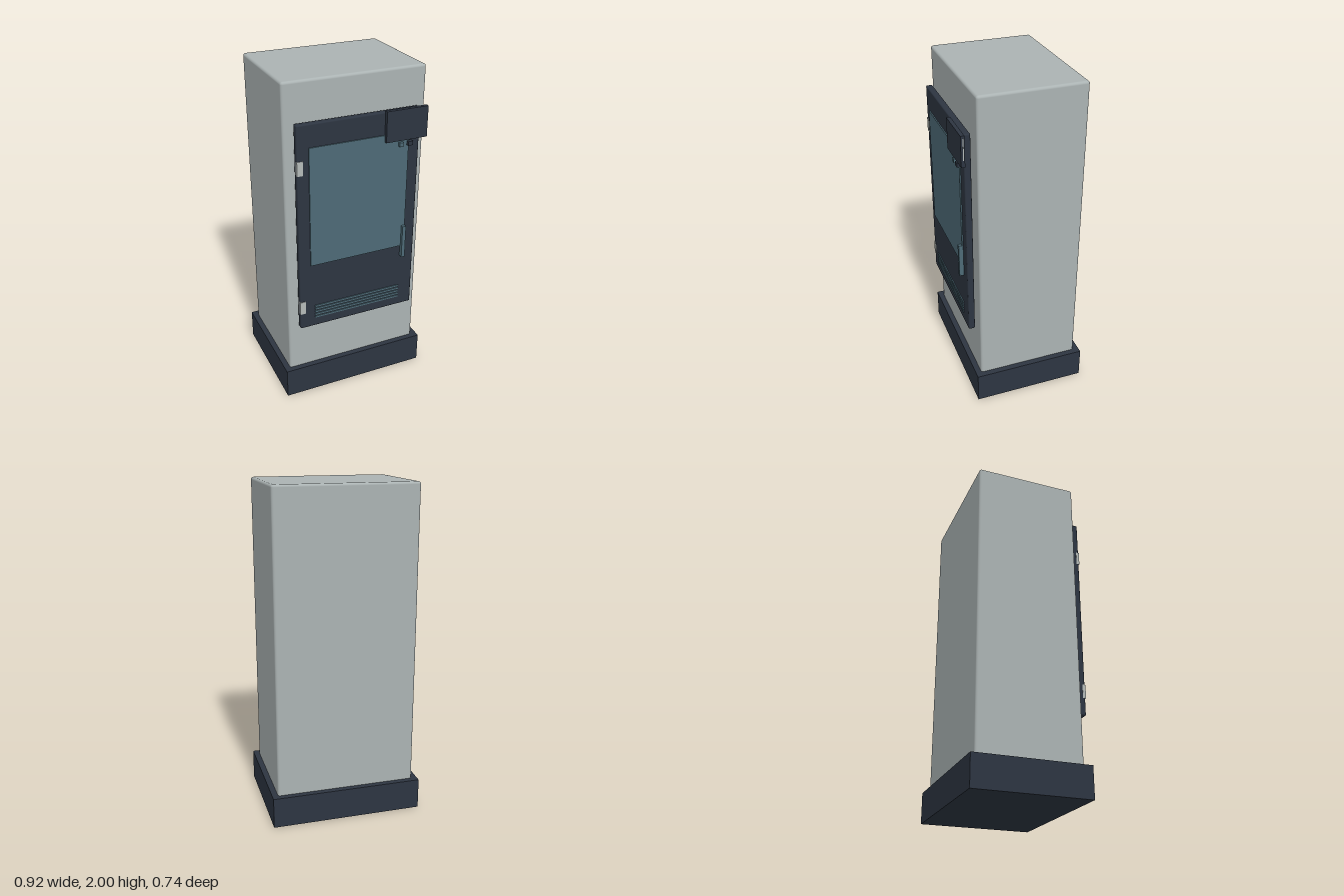
import * as THREE from 'three';
import { RoundedBoxGeometry } from 'three/addons/geometries/RoundedBoxGeometry.js';

const material = (name, color) => {
  const m = new THREE.MeshStandardMaterial({ color });
  m.name = name;
  return m;
};

export function createModel() {
  const model = new THREE.Group();
  model.name = 'cabinet';
  const grey = material('light grey', 0xabb3b3);
  const dark = material('dark slate', 0x2d3541);
  const teal = material('teal glass', 0x4d6a76);
  const pale = material('pale hinge grey', 0xb4bab8);

  // Box given by its limits on each axis, with an optional rounded edge
  function box(name, mat, [x0, x1], [y0, y1], [z0, z1], radius = 0) {
    const size = [x1 - x0, y1 - y0, z1 - z0];
    const geometry = radius
      ? new RoundedBoxGeometry(...size, 3, radius)
      : new THREE.BoxGeometry(...size);
    const mesh = new THREE.Mesh(geometry, mat);
    mesh.name = name;
    mesh.position.set((x0 + x1) / 2, (y0 + y1) / 2, (z0 + z1) / 2);
    model.add(mesh);
  }

  // Plinth and tall housing
  box('plinth', dark, [-0.46, 0.457], [0, 0.187], [-0.37, 0.32]);
  box('housing', grey, [-0.426, 0.422], [0.15, 2], [-0.335, 0.286], 0.015);

  // Door with glass pane
  box('door', dark, [-0.37, 0.366], [0.5, 1.78], [0.302, 0.341], 0.008);
  box('window', teal, [-0.302, 0.297], [0.925, 1.648], [0.34, 0.348]);

  // Hinges on the door's edge
  for (const y of [0.604, 1.494])
    box('hinge', pale, [-0.371, -0.336], [y, y + 0.083], [0.325, 0.344]);

  // Vertical handle
  box('handle', teal, [0.275, 0.297], [0.855, 1.062], [0.341, 0.367]);

  // Vent slats
  for (let i = 0; i < 5; i++) {
    const y = 0.56 + i * 0.019;
    box('ventSlat', teal, [-0.278, 0.274], [y, y + 0.01], [0.338, 0.347]);
  }

  // Control panel with a pale strip on its side, and two buttons below
  box('controlPanel', dark, [0.147, 0.4], [1.61, 1.79], [0.345, 0.367]);
  box('panelSideStrip', pale, [0.396, 0.401], [1.65, 1.775], [0.351, 0.356]);
  box('leftButton', teal, [0.232, 0.257], [1.572, 1.596], [0.341, 0.366]);
  box('rightButton', dark, [0.285, 0.315], [1.572, 1.596], [0.341, 0.366]);

  return model;
}
